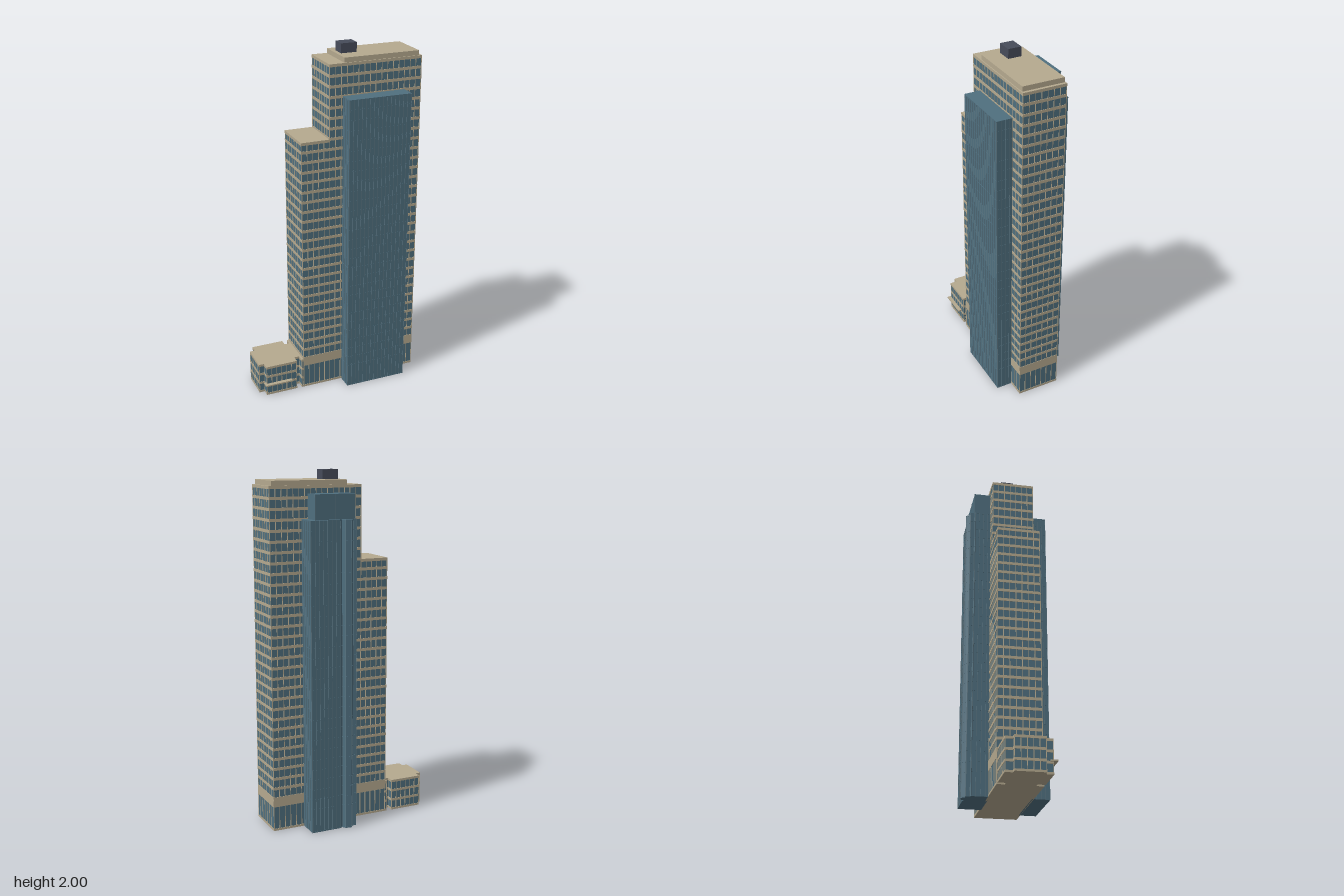
import * as THREE from 'three';
import { mergeGeometries } from 'three/addons/utils/BufferGeometryUtils.js';

const mat = (color) => new THREE.MeshStandardMaterial({ color });
const stone = mat(0xb5a98f);
const glass = mat(0x4f6f7f);
const glassTrim = mat(0x5f7884);
const dark = mat(0x474c5a);

const FLOOR = 0.0574;

// Rectangle outline in plan, as [x, z] corners
const rect = (x0, x1, z0, z1) => [[x0, z0], [x1, z0], [x1, z1], [x0, z1]];

// Vertical prism over a plan outline
function prism(outline, y0, y1) {
  const shape = new THREE.Shape(outline.map(([x, z]) => new THREE.Vector2(x, -z)));
  const g = new THREE.ExtrudeGeometry(shape, { depth: y1 - y0, bevelEnabled: false });
  return g.rotateX(-Math.PI / 2).translate(0, y0, 0);
}

// Calls fn(start, direction, length, angle) for every wall of an outline
function eachWall(outline, fn) {
  outline.forEach(([x, z], i) => {
    const [nx, nz] = outline[(i + 1) % outline.length];
    const len = Math.hypot(nx - x, nz - z);
    fn([x, z], [(nx - x) / len, (nz - z) / len], len, -Math.atan2(nz - z, nx - x));
  });
}

// Horizontal strips that wrap the outline; bands are [y0, y1] pairs
function strips(outline, bands, depth) {
  const parts = [];
  eachWall(outline, ([x, z], [dx, dz], len, angle) => {
    for (const [y0, y1] of bands) {
      parts.push(new THREE.BoxGeometry(len + depth * 0.8, y1 - y0, depth)
        .rotateY(angle)
        .translate(x + dx * len / 2, (y0 + y1) / 2, z + dz * len / 2));
    }
  });
  return mergeGeometries(parts);
}

// Evenly spaced uprights along every wall
function mullions(outline, y0, y1, spacing, width, depth) {
  const parts = [];
  eachWall(outline, ([x, z], [dx, dz], len, angle) => {
    const n = Math.max(1, Math.round(len / spacing));
    for (let i = 0; i < n; i++) {
      const t = len * i / n;
      parts.push(new THREE.BoxGeometry(width, y1 - y0, depth)
        .rotateY(angle)
        .translate(x + dx * t, (y0 + y1) / 2, z + dz * t));
    }
  });
  return mergeGeometries(parts);
}

function mesh(parent, name, geometry, material) {
  const m = new THREE.Mesh(geometry, material);
  m.name = name;
  parent.add(m);
}

// Block with stone bands and uprights over glass, and a stone roof
function bandedBlock(name, outline, height, bands) {
  const g = new THREE.Group();
  g.name = name;
  mesh(g, name + 'Glass', prism(outline, 0.006, height - 0.01), glass);
  mesh(g, name + 'Bands', strips(outline, bands, 0.005), stone);
  mesh(g, name + 'Mullions', mullions(outline, 0, height - 0.002, 0.033, 0.0035, 0.004), stone);
  mesh(g, name + 'Roof', prism(outline, height - 0.01, height), stone);
  mesh(g, name + 'Base', prism(outline, 0, 0.006), stone);
  return g;
}

// All-glass block with fine uprights and floor lines
function glassBlock(name, outline, height, spacing) {
  const g = new THREE.Group();
  g.name = name;
  mesh(g, name + 'Glass', prism(outline, 0, height), glass);
  mesh(g, name + 'Mullions', mullions(outline, 0, height, spacing, 0.002, 0.004), glassTrim);
  const lines = [[0, 0.006], [height - 0.006, height]];
  for (let y = 0.135; y < height - 0.03; y += FLOOR) lines.push([y, y + 0.003]);
  mesh(g, name + 'FloorLines', strips(outline, lines, 0.002), glass);
  return g;
}

// Tower bands: ground strip, tall plinth, one per floor, parapet
function towerBands(height) {
  const bands = [[0, 0.012], [0.14, 0.198], [height - 0.016, height]];
  for (let y = 0.24; y < height - 0.03; y += FLOOR) bands.push([y, y + 0.016]);
  return bands;
}

export function createModel() {
  const model = new THREE.Group();
  model.name = 'officeTower';

  // Main tower and its lower shoulder
  model.add(bandedBlock('mainTower', rect(-0.059, 0.48, -0.097, 0.146), 1.92, towerBands(1.92)));
  model.add(bandedBlock('lowerTower', rect(-0.223, -0.059, -0.097, 0.146), 1.51, towerBands(1.51)));

  // Roof slab and plant room
  mesh(model, 'roofSlab', prism(rect(0.026, 0.466, -0.094, 0.143), 1.92, 1.947), stone);
  mesh(model, 'plantRoom', prism(rect(0.049, 0.14, -0.029, 0.047), 1.947, 2), dark);

  // Glass slab on the front
  model.add(glassBlock('frontSlab', rect(0.017, 0.379, 0.14, 0.238), 1.742, 0.0245));

  // Glass slab on the back, with a faceted bay
  const backOutline = [
    [0.018, -0.09], [0.018, -0.19], [0.027, -0.195], [0.027, -0.218], [0.047, -0.215],
    [0.066, -0.238], [0.098, -0.232], [0.112, -0.211], [0.125, -0.22],
    [0.297, -0.22], [0.297, -0.09],
  ];
  model.add(glassBlock('backSlab', backOutline, 1.742, 0.0245));
  const topBox = rect(0.024, 0.26, -0.195, -0.09);
  mesh(model, 'backUpperBox', prism(topBox, 1.74, 1.877), glass);
  mesh(model, 'backUpperBoxMullions', mullions(topBox, 1.74, 1.877, 0.12, 0.002, 0.003), glassTrim);

  // Low annex with stepped corners and a recessed link to the tower
  const annex = [
    [-0.483, -0.055], [-0.452, -0.055], [-0.452, -0.097], [-0.269, -0.097],
    [-0.269, -0.055], [-0.234, -0.055], [-0.234, -0.097], [-0.222, -0.097],
    [-0.222, 0.146], [-0.234, 0.146], [-0.234, 0.104], [-0.269, 0.104],
    [-0.269, 0.146], [-0.452, 0.146], [-0.452, 0.104], [-0.483, 0.104],
  ];
  model.add(bandedBlock('annex', annex, 0.185,
    [[0, 0.012], [0.055, 0.069], [0.113, 0.127], [0.171, 0.185]]));

  // Entrance canopy on the annex front
  mesh(model, 'canopy', prism(rect(-0.465, -0.301, 0.13, 0.168), 0.066, 0.074), stone);

  return model;
}
